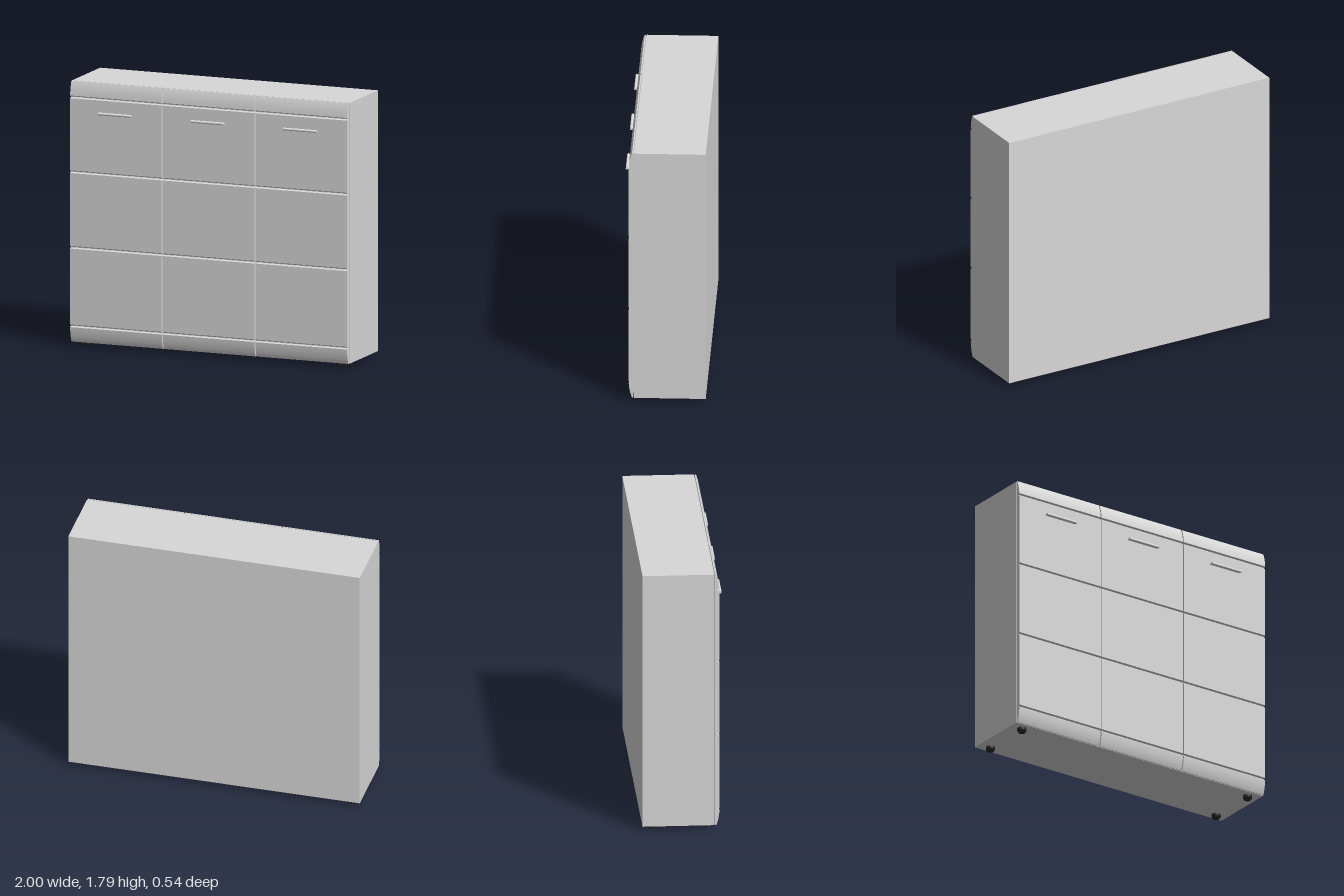
import * as THREE from 'three';
import { toCreasedNormals } from 'three/addons/utils/BufferGeometryUtils.js';

export function createModel() {
  const board = new THREE.MeshStandardMaterial({ color: 0xd8d8d8 });
  board.name = 'light grey board';
  const metal = new THREE.MeshStandardMaterial({ color: 0xe0e0e0 });
  metal.name = 'pale handle metal';
  const black = new THREE.MeshStandardMaterial({ color: 0x2a2a2a });
  black.name = 'black plastic';

  const model = new THREE.Group();
  model.name = 'cabinet';

  const add = (name, geometry, material, x = 0, y = 0, z = 0) => {
    const mesh = new THREE.Mesh(geometry, material);
    mesh.name = name;
    mesh.position.set(x, y, z);
    model.add(mesh);
    return mesh;
  };
  // Box given by its minimum and maximum corners
  const panel = (name, x0, x1, y0, y1, z0, z1) =>
    add(name, new THREE.BoxGeometry(x1 - x0, y1 - y0, z1 - z0), board,
      (x0 + x1) / 2, (y0 + y1) / 2, (z0 + z1) / 2);
  // Sweep a (z, y) profile along x, centred on x = 0
  const sweep = (shape, width) => {
    const g = new THREE.ExtrudeGeometry(shape, { depth: width, bevelEnabled: false, curveSegments: 10 });
    g.translate(0, 0, -width / 2);
    g.rotateY(-Math.PI / 2);
    return toCreasedNormals(g, 0.4);
  };

  // Carcass
  const back = -0.27, front = 0.207, bottom = 0.03, top = 1.79, t = 0.02;
  panel('topBoard', -1, 1, top - t, top, back, front);
  panel('bottomBoard', -1, 1, bottom, bottom + t, back, front);
  panel('leftSide', 1 - t, 1, bottom + t, top - t, back, front);
  panel('rightSide', -1, -1 + t, bottom + t, top - t, back, front);
  panel('backPanel', -1 + t, 1 - t, bottom + t, top - t, back, back + 0.01);
  for (const x of [-0.335, 0.332]) {
    panel('divider', x - t / 2, x + t / 2, bottom + t, top - t, back + 0.01, front);
  }

  // Door profile: rounded top and bottom edges, V grooves across the front
  const zb = 0.211, zf = 0.241, grooves = [0.14, 0.67, 1.18, 1.685];
  const doorShape = new THREE.Shape();
  doorShape.moveTo(zb, bottom);
  doorShape.lineTo(zb + 0.008, bottom);
  doorShape.quadraticCurveTo(zf - 0.005, 0.07, zf, grooves[0] - 0.009);
  for (const y of grooves) {
    doorShape.lineTo(zf, y - 0.009);
    doorShape.lineTo(zf - 0.012, y - 0.002);
    doorShape.lineTo(zf - 0.012, y + 0.002);
    doorShape.lineTo(zf, y + 0.009);
  }
  doorShape.quadraticCurveTo(zf - 0.005, 1.75, zb + 0.008, top);
  doorShape.lineTo(zb, top);
  doorShape.closePath();
  const doorGeometry = sweep(doorShape, 0.66);

  // Handle profile: thin web ending in a rounded grip
  const handleShape = new THREE.Shape();
  handleShape.moveTo(zf, -0.003);
  handleShape.lineTo(0.253, -0.003);
  handleShape.absarc(0.261, 0, 0.009, -Math.PI * 0.89, Math.PI * 0.89, false);
  handleShape.lineTo(zf, 0.003);
  handleShape.closePath();
  const handleGeometry = sweep(handleShape, 0.235);

  for (const x of [-0.669, -0.002, 0.665]) {
    add('door', doorGeometry, board, x);
    add('handle', handleGeometry, metal, x, 1.59);
  }

  // Feet
  const footGeometry = toCreasedNormals(new THREE.LatheGeometry([
    [0, 0], [0.022, 0], [0.027, 0.006], [0.031, 0.014], [0.031, bottom], [0, bottom],
  ].map(([r, y]) => new THREE.Vector2(r, y)), 24), 0.5);
  for (const x of [-0.915, 0.915]) {
    for (const z of [0.15, -0.21]) add('foot', footGeometry, black, x, 0, z);
  }

  return model;
}
